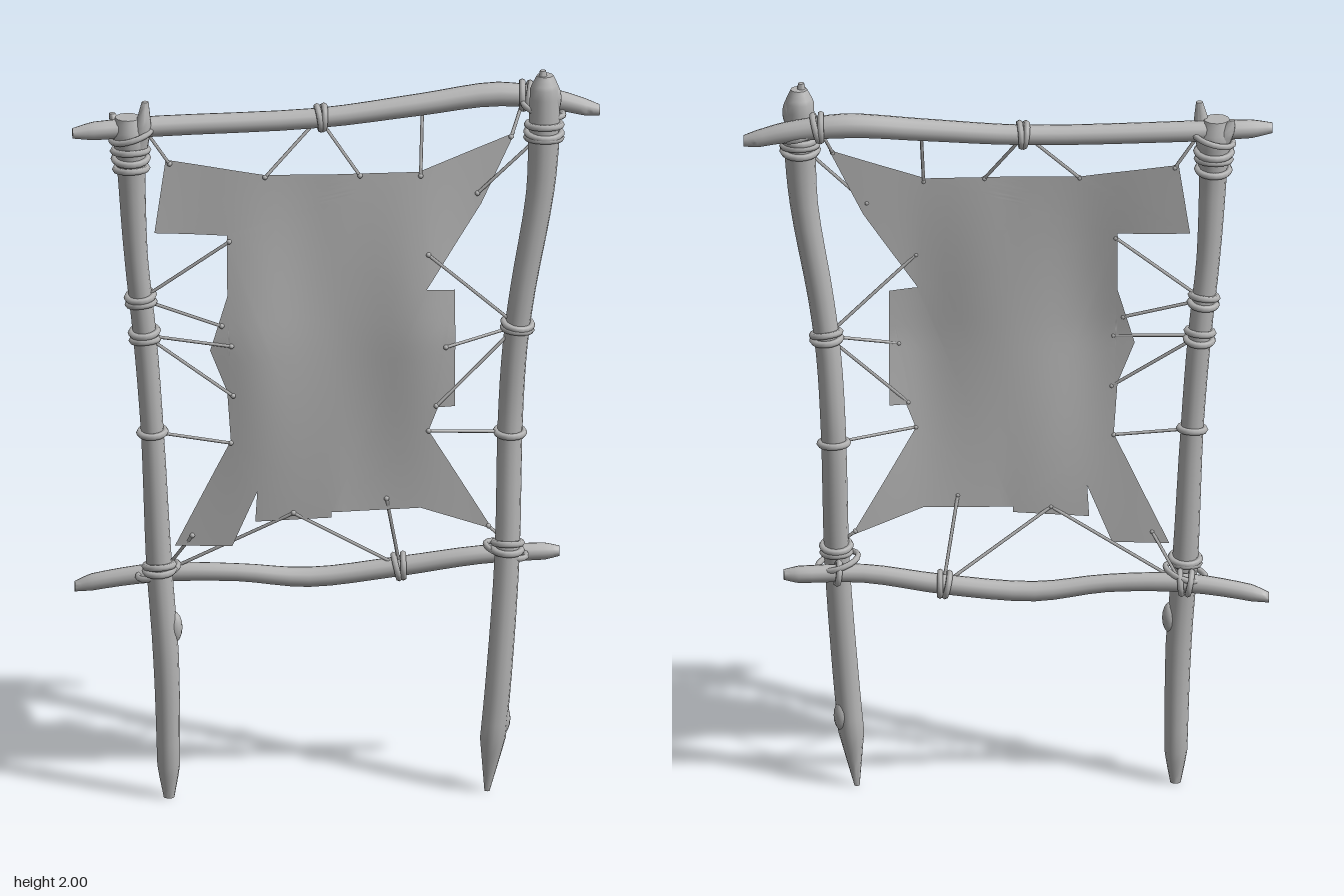
import * as THREE from 'three';
import { mergeVertices, toCreasedNormals } from 'three/addons/utils/BufferGeometryUtils.js';

const wood = new THREE.MeshStandardMaterial({ color: 0xb4b4b4 });
wood.name = 'plainGrey';
const hideMat = new THREE.MeshStandardMaterial({ color: 0xb4b4b4, side: THREE.DoubleSide });
hideMat.name = 'plainGreySheet';

const V = (a) => new THREE.Vector3(a[0], a[1], a[2]);

// Crooked log through stations [x, y, z, radius]; across = lies along x
function makeLog(stations, across) {
  const curve = new THREE.CatmullRomCurve3(stations.map(V));
  const n = stations.length - 1;
  const at = (t) => {
    const i = Math.min(Math.floor(t * n), n - 1);
    return {
      c: curve.getPoint(t),
      r: THREE.MathUtils.lerp(stations[i][3], stations[i + 1][3], t * n - i),
      dir: curve.getTangent(t),
    };
  };
  let geo = new THREE.CylinderGeometry(1, 1, 1, 12, n * 4);
  const p = geo.attributes.position;
  for (let i = 0; i < p.count; i++) {
    const t = THREE.MathUtils.clamp(p.getY(i) + 0.5, 0, 1);
    const { c, r } = at(t);
    const a = p.getX(i) * r, b = p.getZ(i) * r;
    if (across) p.setXYZ(i, c.x, c.y - a, c.z + b);
    else p.setXYZ(i, c.x + a, c.y, c.z + b);
  }
  geo.deleteAttribute('uv');
  geo.deleteAttribute('normal');
  geo = toCreasedNormals(mergeVertices(geo), 0.9);
  // station on the log at a given x (across) or y (upright)
  const find = (v) => {
    let best = at(0);
    for (let t = 0; t <= 1; t += 0.005) {
      const s = at(t), k = across ? 'x' : 'y';
      if (Math.abs(s.c[k] - v) < Math.abs(best.c[k] - v)) best = s;
    }
    return best;
  };
  return { geo, find };
}

// Sheet depth: bulges forward along both sides, pulled back at the corners
function hideZ(x, y) {
  const dy = y - 1.27;
  const bulge = Math.exp(-(((Math.abs(x) - 0.22) / 0.12) ** 2)) * Math.exp(-((dy / 0.38) ** 2));
  return 0.042 + 0.026 * bulge - 0.13 * Math.abs(x * dy);
}

function makeHide() {
  const outline = [
    [-0.45, 1.765], [-0.19, 1.725], [0.215, 1.725], [0.47, 1.82], [0.38, 1.63], [0.235, 1.405],
    [0.31, 1.4], [0.31, 1.075], [0.265, 1.075], [0.24, 1.01], [0.41, 0.72], [0.22, 0.79],
    [-0.015, 0.785], [-0.015, 0.77], [-0.215, 0.76], [-0.21, 0.845], [-0.275, 0.69], [-0.425, 0.69],
    [-0.28, 0.99], [-0.29, 1.13], [-0.335, 1.245], [-0.29, 1.395], [-0.29, 1.56], [-0.48, 1.565],
  ].map(([x, y]) => new THREE.Vector2(x, y)).reverse();
  let tris = THREE.ShapeUtils.triangulateShape(outline, []).map((f) => f.map((i) => outline[i]));
  // split every triangle in four so the sheet can curve
  const mid = (a, b) => a.clone().add(b).multiplyScalar(0.5);
  for (let k = 0; k < 4; k++) {
    tris = tris.flatMap(([a, b, c]) => {
      const ab = mid(a, b), bc = mid(b, c), ca = mid(c, a);
      return [[a, ab, ca], [ab, b, bc], [ca, bc, c], [ab, bc, ca]];
    });
  }
  const pos = tris.flat().flatMap((v) => [v.x, v.y, hideZ(v.x, v.y)]);
  let geo = new THREE.BufferGeometry();
  geo.setAttribute('position', new THREE.Float32BufferAttribute(pos, 3));
  geo = mergeVertices(geo);
  geo.computeVertexNormals();
  return geo;
}

export function createModel() {
  const group = new THREE.Group();
  const add = (name, geo, mat = wood) => {
    const m = new THREE.Mesh(geo, mat);
    m.name = name;
    group.add(m);
    return m;
  };

  // Frame logs
  const logs = {
    rightPost: makeLog([
      [-0.442, 0.0, 0.035, 0.014], [-0.443, 0.09, 0.035, 0.03], [-0.45, 0.39, 0.035, 0.034],
      [-0.468, 0.65, 0.025, 0.034], [-0.485, 1.01, 0.02, 0.03], [-0.505, 1.28, 0.015, 0.031],
      [-0.528, 1.5, 0.02, 0.031], [-0.54, 1.72, 0.025, 0.036], [-0.545, 1.84, 0.025, 0.046],
      [-0.55, 1.89, 0.025, 0.034]], false),
    leftPost: makeLog([
      [0.395, 0.0, 0.035, 0.007], [0.41, 0.15, 0.042, 0.034], [0.426, 0.33, 0.045, 0.034],
      [0.448, 0.65, 0.03, 0.033], [0.458, 1.02, 0.005, 0.033], [0.47, 1.23, 0.015, 0.033],
      [0.49, 1.39, 0.025, 0.034], [0.535, 1.66, 0.03, 0.037], [0.545, 1.82, 0.03, 0.042],
      [0.547, 1.95, 0.03, 0.038], [0.548, 1.985, 0.03, 0.022]], false),
    topBar: makeLog([
      [-0.697, 1.855, 0.045, 0.014], [-0.64, 1.857, 0.035, 0.025], [-0.47, 1.86, 0.015, 0.028],
      [-0.045, 1.865, -0.01, 0.027], [0.22, 1.89, -0.028, 0.03], [0.43, 1.91, -0.043, 0.033],
      [0.59, 1.89, -0.038, 0.028], [0.66, 1.872, -0.033, 0.023], [0.695, 1.865, -0.03, 0.015]], true),
    bottomBar: makeLog([
      [-0.685, 0.56, -0.055, 0.014], [-0.64, 0.572, -0.052, 0.023], [-0.47, 0.598, -0.042, 0.026],
      [-0.26, 0.597, -0.035, 0.024], [-0.07, 0.578, -0.04, 0.027], [0.17, 0.602, -0.043, 0.027],
      [0.38, 0.632, -0.035, 0.025], [0.55, 0.635, -0.045, 0.023], [0.59, 0.635, -0.045, 0.014]], true),
  };
  for (const [name, log] of Object.entries(logs)) add(name, log.geo);

  // Forked tips and knots on the posts
  add('rightPostProng', makeLog([[-0.53, 1.79, 0.03, 0.03], [-0.512, 1.87, 0.04, 0.022], [-0.505, 1.935, 0.035, 0.009]], false).geo);
  add('rightPostStub', makeLog([[-0.55, 1.81, 0.02, 0.03], [-0.575, 1.86, 0.01, 0.022], [-0.59, 1.895, 0.005, 0.008]], false).geo);
  add('leftPostProng', makeLog([[0.54, 1.9, 0.035, 0.03], [0.542, 2.0, 0.035, 0.008]], false).geo);
  for (const [x, y, z] of [[-0.428, 0.47, 0.03], [0.435, 0.2, 0.035], [0.57, 1.92, 0.03]]) {
    const knot = add('knot', new THREE.SphereGeometry(0.024, 12, 8));
    knot.position.set(x, y, z);
    knot.scale.set(0.9, 1.8, 1);
  }

  // Cord wraps around the logs
  const wraps = {
    rightPost: [1.8, 1.775, 1.75, 1.385, 1.37, 1.285, 1.27, 1.01, 0.64, 0.625],
    leftPost: [1.85, 1.83, 1.81, 1.295, 1.28, 0.985, 0.685, 0.67],
    topBar: [-0.05, -0.035, 0.49, 0.505],
    bottomBar: [-0.475, -0.455, 0.16, 0.18, 0.45],
  };
  for (const [name, places] of Object.entries(wraps)) {
    places.forEach((v, i) => {
      const { c, r, dir } = logs[name].find(v);
      const ring = add('cordWrap', new THREE.TorusGeometry(r + 0.004, 0.009, 6, 18));
      ring.position.copy(c);
      ring.quaternion.setFromUnitVectors(new THREE.Vector3(0, 0, 1), dir);
      ring.rotateX(i % 2 ? 0.12 : -0.1);
    });
  }
  // Lashings tying the bars to the posts
  for (const [x, y, z, tilt] of [[-0.54, 1.84, 0.02, 0.6], [0.545, 1.88, -0.005, -0.6], [-0.468, 0.615, -0.01, 0.6], [0.447, 0.655, -0.005, -0.6]]) {
    const lash = add('lashing', new THREE.TorusGeometry(0.056, 0.008, 6, 20));
    lash.position.set(x, y, z);
    lash.rotation.set(Math.PI / 2, tilt * 0.5, 0);
  }

  // Stretched sheet
  add('stretchedHide', makeHide(), hideMat);

  // Lacing cords: [hide x, hide y, log name, place along log]
  const cords = [
    [-0.19, 1.72, 'topBar', -0.045], [0.06, 1.72, 'topBar', -0.045], [0.22, 1.715, 'topBar', 0.225],
    [-0.44, 1.755, 'topBar', -0.51], [0.46, 1.81, 'topBar', 0.5], [0.37, 1.66, 'leftPost', 1.83],
    [-0.285, 1.545, 'rightPost', 1.38], [-0.305, 1.315, 'rightPost', 1.38],
    [-0.28, 1.26, 'rightPost', 1.275], [-0.275, 1.12, 'rightPost', 1.275], [-0.28, 0.985, 'rightPost', 1.01],
    [0.24, 1.5, 'leftPost', 1.285], [0.285, 1.245, 'leftPost', 1.285], [0.26, 1.08, 'leftPost', 1.285],
    [0.24, 1.01, 'leftPost', 0.985], [0.13, 0.82, 'bottomBar', 0.17], [-0.115, 0.785, 'bottomBar', 0.17],
    [-0.115, 0.785, 'bottomBar', -0.45], [-0.38, 0.72, 'bottomBar', -0.45], [0.4, 0.73, 'leftPost', 0.68],
  ];
  for (const [x, y, name, v] of cords) {
    const start = new THREE.Vector3(x, y, hideZ(x, y) + 0.004);
    const path = new THREE.LineCurve3(start, logs[name].find(v).c);
    add('lacingCord', new THREE.TubeGeometry(path, 1, 0.0045, 6));
    const stitch = add('stitch', new THREE.SphereGeometry(0.007, 8, 6));
    stitch.position.copy(start);
  }
  return group;
}
